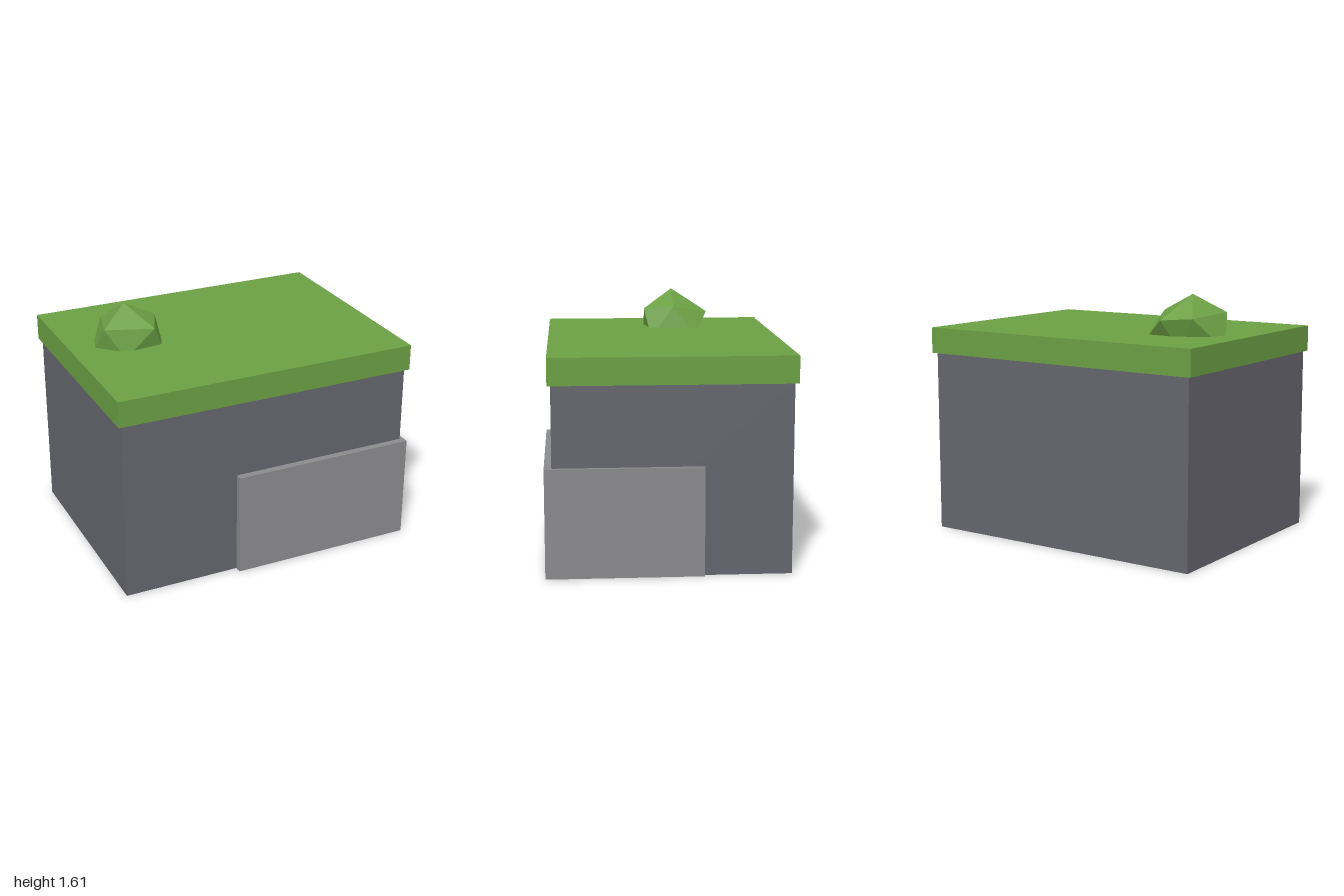
import * as THREE from 'three';

const material = (name, color) => {
  const m = new THREE.MeshStandardMaterial({ color });
  m.name = name;
  return m;
};

// Box given by its minimum and maximum corners
function block(name, min, max, mat) {
  const size = max.map((v, i) => v - min[i]);
  const mesh = new THREE.Mesh(new THREE.BoxGeometry(...size), mat);
  mesh.position.set(...min.map((v, i) => v + size[i] / 2));
  mesh.name = name;
  return mesh;
}

// Irregular icosahedron: apex, two interleaved rings of five, base point
function bushGeometry() {
  const apex = [-0.62, 1.61, -0.12];
  const base = [-0.61, 1.12, -0.12];
  const upper = [[-0.80, 1.495, 0], [-0.49, 1.483, 0.08], [-0.41, 1.50, -0.12],
    [-0.53, 1.457, -0.36], [-0.72, 1.47, -0.29]];
  const lower = [[-0.685, 1.31, 0.07], [-0.405, 1.29, 0.033], [-0.355, 1.31, -0.27],
    [-0.62, 1.24, -0.25], [-0.86, 1.27, -0.12]];
  const points = [];
  for (let i = 0; i < 5; i++) {
    const j = (i + 1) % 5;
    points.push(apex, upper[i], upper[j]);
    points.push(upper[i], lower[i], upper[j]);
    points.push(upper[j], lower[i], lower[j]);
    points.push(base, lower[j], lower[i]);
  }
  const geometry = new THREE.BufferGeometry();
  geometry.setAttribute('position', new THREE.Float32BufferAttribute(points.flat(), 3));
  geometry.computeVertexNormals(); // unshared corners give flat facets
  return geometry;
}

export function createModel() {
  const grass = material('grass green', 0x6ba044);
  const darkRock = material('dark rock', 0x65656e);
  const lightRock = material('light rock', 0x8b8a8d);

  const model = new THREE.Group();
  model.name = 'grassyCliffBlock';
  // Rock body, stone corner and turf cap
  model.add(block('rockBody', [-0.978, 0, -0.745], [0.974, 1.19, 0.721], darkRock));
  model.add(block('cornerStone', [-0.217, 0, -0.205], [1, 0.683, 0.767], lightRock));
  model.add(block('grassCap', [-1, 1.187, -0.767], [1, 1.356, 0.742], grass));

  // Faceted bush sunk into the turf
  const bush = new THREE.Mesh(bushGeometry(), grass);
  bush.name = 'bush';
  model.add(bush);
  return model;
}
